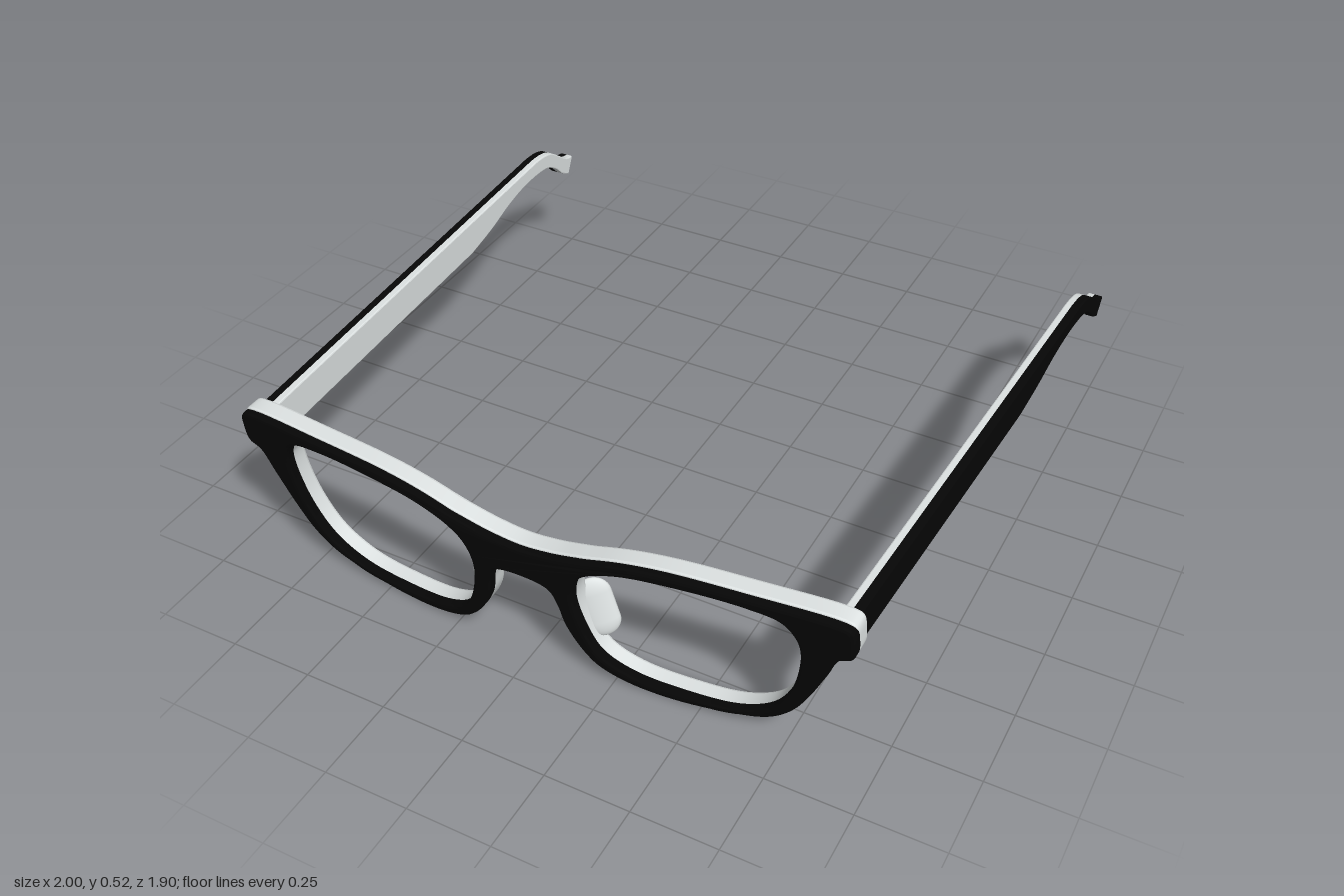
import * as THREE from 'three';
import { toCreasedNormals } from 'three/addons/utils/BufferGeometryUtils.js';

const black = new THREE.MeshStandardMaterial({ color: 0x060606 });
black.name = 'black';
const paleGrey = new THREE.MeshStandardMaterial({ color: 0xdfe4e4 });
paleGrey.name = 'paleGrey';

// Smooth closed loop through a few points
function loop(points, steps = 6) {
  const curve = new THREE.CatmullRomCurve3(points.map(([x, y]) => new THREE.Vector3(x, y, 0)), true);
  return curve.getPoints(points.length * steps).slice(0, -1).map((p) => new THREE.Vector2(p.x, p.y));
}

// Slab of a shape between two depths with softened edges, its vertices moved by a rule
function slab(shape, near, far, bevel, rule) {
  const geo = new THREE.ExtrudeGeometry(shape, {
    depth: far - near - 2 * bevel, steps: 1, bevelEnabled: true,
    bevelThickness: bevel, bevelSize: bevel, bevelOffset: -bevel, bevelSegments: 2,
  });
  geo.translate(0, 0, near + bevel);
  const pos = geo.attributes.position;
  const v = new THREE.Vector3();
  for (let i = 0; i < pos.count; i++) {
    rule(v.fromBufferAttribute(pos, i));
    pos.setXYZ(i, v.x, v.y, v.z);
  }
  return toCreasedNormals(geo, 0.35);
}

function add(parent, name, geo, material) {
  const mesh = new THREE.Mesh(geo, material);
  mesh.name = name;
  parent.add(mesh);
  return mesh;
}

// Upper edge, then the end piece, rim and nose side, for the +x half
const brow = [[0.1, 0.442], [0.19, 0.465], [0.3, 0.493], [0.43, 0.511], [0.65, 0.518], [0.89, 0.518], [0.918, 0.506]];
const rim = [[0.926, 0.46], [0.92, 0.405], [0.885, 0.385], [0.853, 0.31], [0.8, 0.19], [0.755, 0.115],
  [0.69, 0.06], [0.58, 0.026], [0.42, 0.006], [0.29, 0.018], [0.21, 0.052], [0.16, 0.105], [0.12, 0.185],
  [0.104, 0.26], [0.085, 0.305], [0.05, 0.32]];
// Lens opening of the +x half, anticlockwise
const opening = [[0.784, 0.36], [0.774, 0.42], [0.737, 0.467], [0.65, 0.483], [0.47, 0.48], [0.29, 0.455],
  [0.19, 0.405], [0.154, 0.32], [0.168, 0.2], [0.215, 0.095], [0.30, 0.046], [0.45, 0.031], [0.6, 0.046],
  [0.70, 0.105], [0.76, 0.215]];

function mirror(points) {
  return points.map(([x, y]) => [-x, y]).reverse();
}

function frameShape(lift) {
  const half = [...brow.map(([x, y]) => [x, y + lift]), ...rim];
  const shape = new THREE.Shape(loop([[0, 0.43 + lift], ...half, ...mirror(half)]));
  for (const hole of [opening, mirror(opening)]) shape.holes.push(new THREE.Path(loop(hole)));
  return shape;
}

// Face wrap and tilt of the front
function wrap(v) {
  v.z += 0.95 - 0.083 * Math.max(0, Math.abs(v.x) - 0.2) - 0.13 * (0.45 - v.y);
}

// Temple outline: x runs backwards, y up
function templeShape() {
  const thru = (...points) => points.map((p) => new THREE.Vector2(...p));
  const s = new THREE.Shape();
  s.moveTo(-0.825, 0.388);
  s.lineTo(0.25, 0.388);
  s.splineThru(thru([0.38, 0.408], [0.505, 0.437], [0.63, 0.45], [0.76, 0.44], [0.83, 0.405], [0.875, 0.364], [0.92, 0.338]));
  s.lineTo(0.951, 0.396);
  s.splineThru(thru([0.91, 0.408], [0.87, 0.435], [0.81, 0.476], [0.76, 0.493], [0.70, 0.5]));
  s.lineTo(-0.825, 0.5);
  return s;
}

export function createModel() {
  const model = new THREE.Group();
  model.name = 'glasses';

  // Two-layer front
  const front = new THREE.Group();
  front.name = 'frontFrame';
  model.add(front);
  add(front, 'frontLayer', slab(frameShape(0), -0.042, 0, 0.01, wrap), black);
  add(front, 'backLayer', slab(frameShape(0.005), -0.082, -0.024, 0.008, wrap), paleGrey);

  for (const s of [1, -1]) {
    const side = s > 0 ? 'left' : 'right';

    // Temple: dark outside, pale inside, splayed towards the tip
    const temple = new THREE.Group();
    temple.name = side + 'Temple';
    model.add(temple);
    const splay = (v) => {
      const [u, w] = [v.x, v.z];
      v.set(w + s * (0.81 + u) * 0.0513, v.y, -u);
    };
    const layer = (inner, outer) =>
      slab(templeShape(), s > 0 ? inner : -outer, s > 0 ? outer : -inner, 0.004, splay);
    add(temple, side + 'TempleOutside', layer(0.879, 0.908), black);
    add(temple, side + 'TempleInside', layer(0.862, 0.887), paleGrey);

    // Nose pad: flattened pill flaring back and outwards
    const pad = add(model, side + 'NosePad', new THREE.CapsuleGeometry(0.05, 0.09, 8, 20), paleGrey);
    pad.scale.set(0.32, 1, 1);
    pad.rotation.set(0, -0.96 * s, 0.3 * s, 'ZYX');
    pad.position.set(0.178 * s, 0.212, 0.836);
  }
  return model;
}
